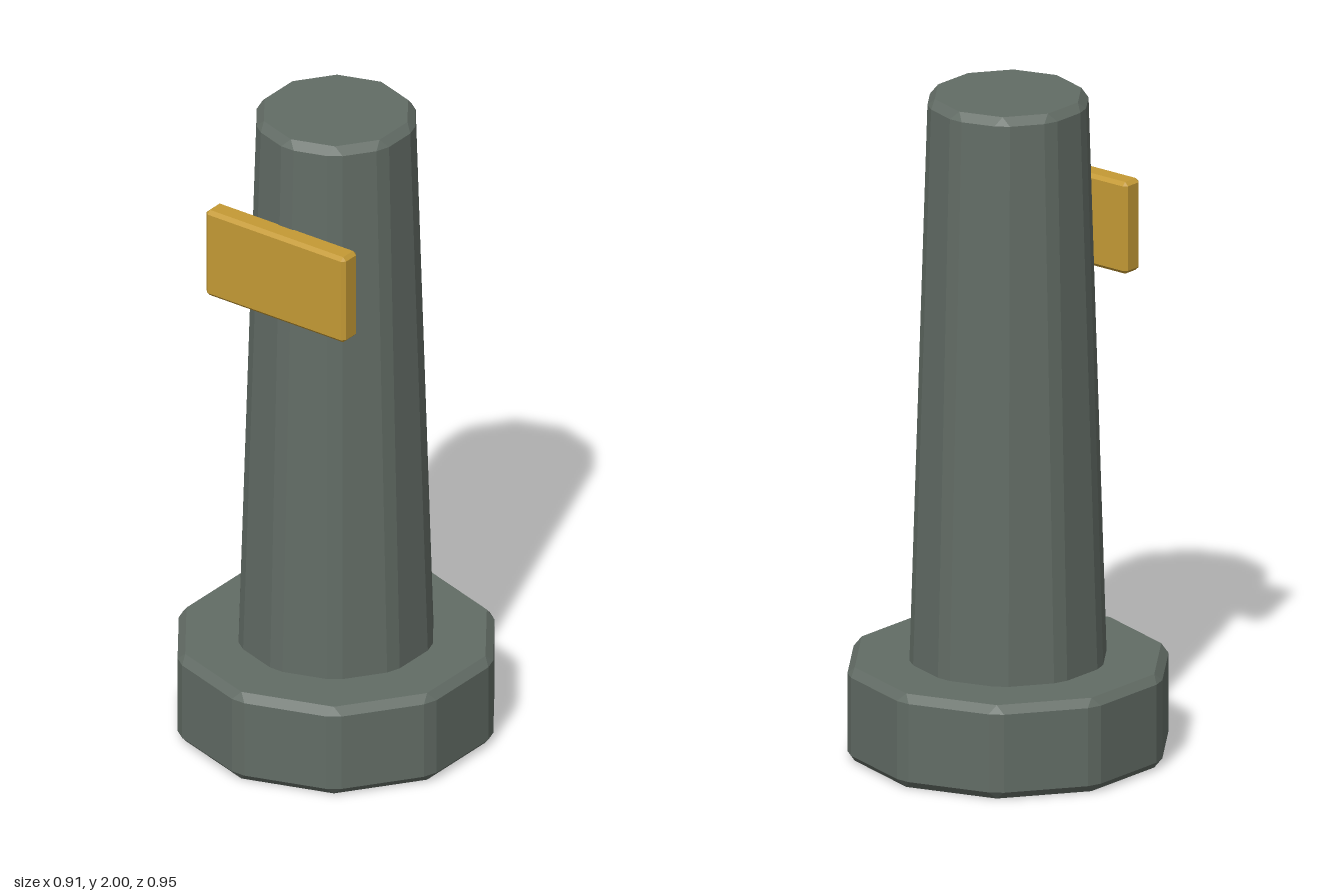
import * as THREE from 'three';
import { ConvexGeometry } from 'three/addons/geometries/ConvexGeometry.js';

const SIDES = 10;
const BEVEL = 0.0235;

// Ring of a decagon with a corner on +z; each corner is cut into two points
function ring(radius, y, cut) {
  const corner = (i) => {
    const a = (i / SIDES) * Math.PI * 2;
    return new THREE.Vector3(Math.sin(a) * radius, y, Math.cos(a) * radius);
  };
  const t = cut / (2 * radius * Math.sin(Math.PI / SIDES));
  const points = [];
  for (let i = 0; i < SIDES; i++) {
    points.push(corner(i).lerp(corner(i - 1), t), corner(i).lerp(corner(i + 1), t));
  }
  return points;
}

// Decagonal frustum with every edge bevelled
function bevelledFrustum(y0, y1, r0, r1) {
  const rings = [
    ring(r0 - BEVEL, y0, 0),
    ring(r0, y0 + BEVEL, BEVEL),
    ring(r1, y1 - BEVEL, BEVEL),
    ring(r1 - BEVEL, y1, 0),
  ];
  const positions = [];
  const tri = (a, b, c) => {
    if (new THREE.Triangle(a, b, c).getArea() < 1e-8) return;
    for (const p of [a, b, c]) positions.push(p.x, p.y, p.z);
  };
  const n = SIDES * 2;
  const bottom = new THREE.Vector3(0, y0, 0);
  const top = new THREE.Vector3(0, y1, 0);
  for (let i = 0; i < n; i++) {
    const j = (i + 1) % n;
    for (let k = 0; k < 3; k++) {
      const lo = rings[k], hi = rings[k + 1];
      tri(lo[i], lo[j], hi[j]);
      tri(lo[i], hi[j], hi[i]);
    }
    tri(bottom, rings[0][j], rings[0][i]);
    tri(top, rings[3][i], rings[3][j]);
  }
  const geometry = new THREE.BufferGeometry();
  geometry.setAttribute('position', new THREE.Float32BufferAttribute(positions, 3));
  geometry.computeVertexNormals();
  return geometry;
}

// Box with chamfered edges
function chamferedBox(w, h, d, b) {
  const points = [];
  for (const x of [-1, 1]) for (const y of [-1, 1]) for (const z of [-1, 1]) {
    for (let axis = 0; axis < 3; axis++) {
      const inset = [b, b, b];
      inset[axis] = 0;
      points.push(new THREE.Vector3(
        x * (w / 2 - inset[0]), y * (h / 2 - inset[1]), z * (d / 2 - inset[2])));
    }
  }
  return new ConvexGeometry(points);
}

export function createModel() {
  const stone = new THREE.MeshStandardMaterial({ color: 0x626c65, flatShading: true });
  stone.name = 'greyGreenStone';
  const gold = new THREE.MeshStandardMaterial({ color: 0xc49a35, flatShading: true });
  gold.name = 'gold';

  const group = new THREE.Group();
  group.name = 'pillar';
  const add = (name, geometry, material) => {
    const mesh = new THREE.Mesh(geometry, material);
    mesh.name = name;
    group.add(mesh);
    return mesh;
  };

  // Wide foot and tapering column
  add('base', bevelledFrustum(0, 0.285, 0.4805, 0.4805), stone);
  add('shaft', bevelledFrustum(0.22, 2, 0.297, 0.242), stone);

  // Flat plaque on the front of the column
  add('plaque', chamferedBox(0.504, 0.28, 0.07, 0.011), gold).position.set(0, 1.58, 0.264);

  return group;
}
